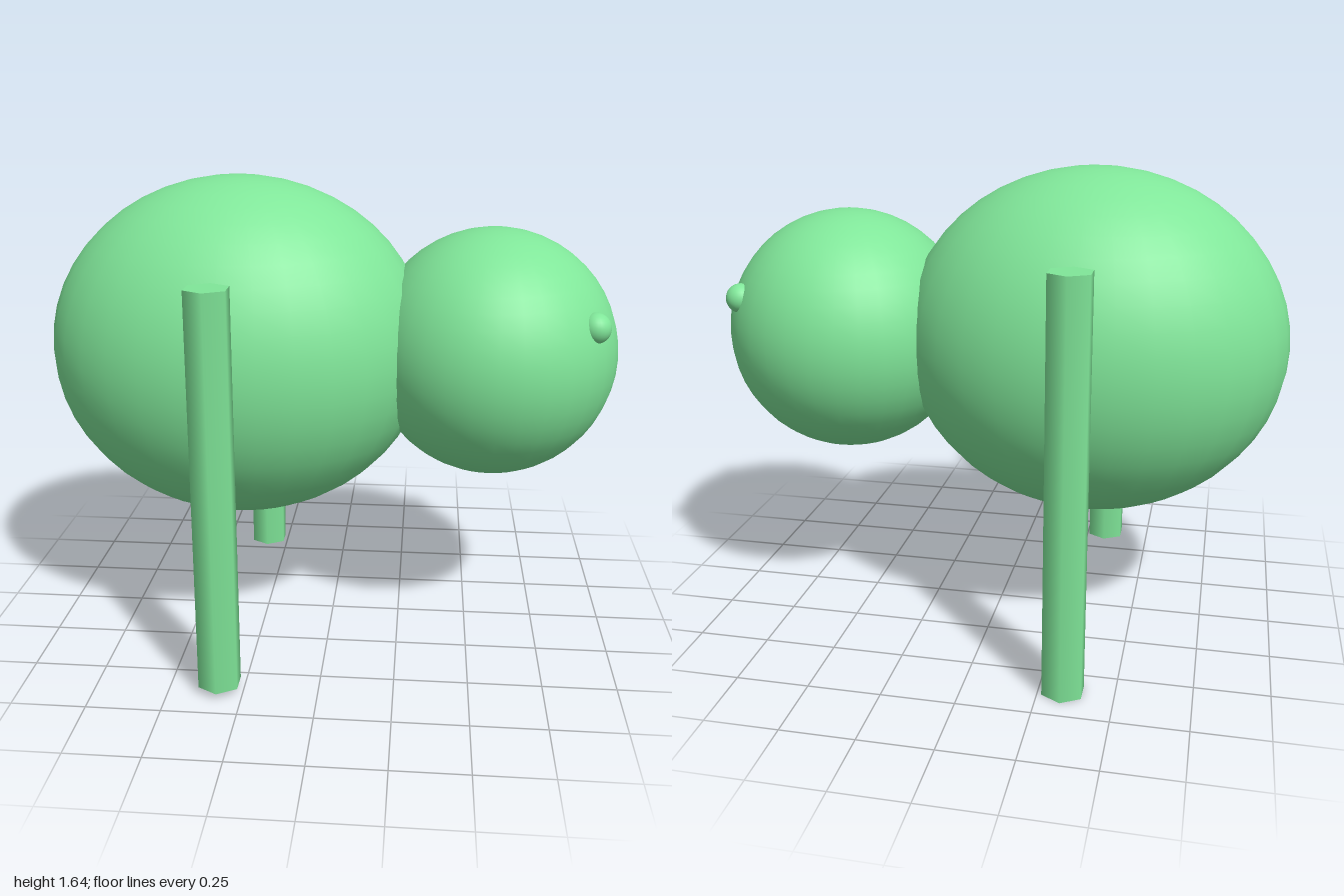
import * as THREE from 'three';

export function createModel() {
  const model = new THREE.Group();
  const green = new THREE.MeshStandardMaterial({ color: 0x80e699 });

  const add = (name, geometry, x, y, z) => {
    const mesh = new THREE.Mesh(geometry, green);
    mesh.name = name;
    mesh.position.set(x, y, z);
    model.add(mesh);
    return mesh;
  };

  // Egg-shaped body and round head
  add('body', new THREE.SphereGeometry(1, 32, 24), -0.33, 1.035, 0).scale.set(0.67, 0.603, 0.532);
  add('head', new THREE.SphereGeometry(0.433, 32, 24), 0.562, 1.035, 0);

  // Small eyes half sunk into the head
  for (const side of [1, -1]) {
    add(side > 0 ? 'frontEye' : 'backEye', new THREE.SphereGeometry(0.052, 24, 16), 0.88, 1.18, side * 0.235);
  }

  // Hexagonal legs against the flanks, the front one a little shorter
  const legs = [
    ['frontLeg', 0.025, 1.37, 0.605],
    ['backLeg', 0, 1.397, -0.605],
  ];
  for (const [name, bottom, top, z] of legs) {
    const geometry = new THREE.CylinderGeometry(0.075, 0.075, top - bottom, 6);
    add(name, geometry, -0.33, (bottom + top) / 2, z);
  }

  return model;
}
